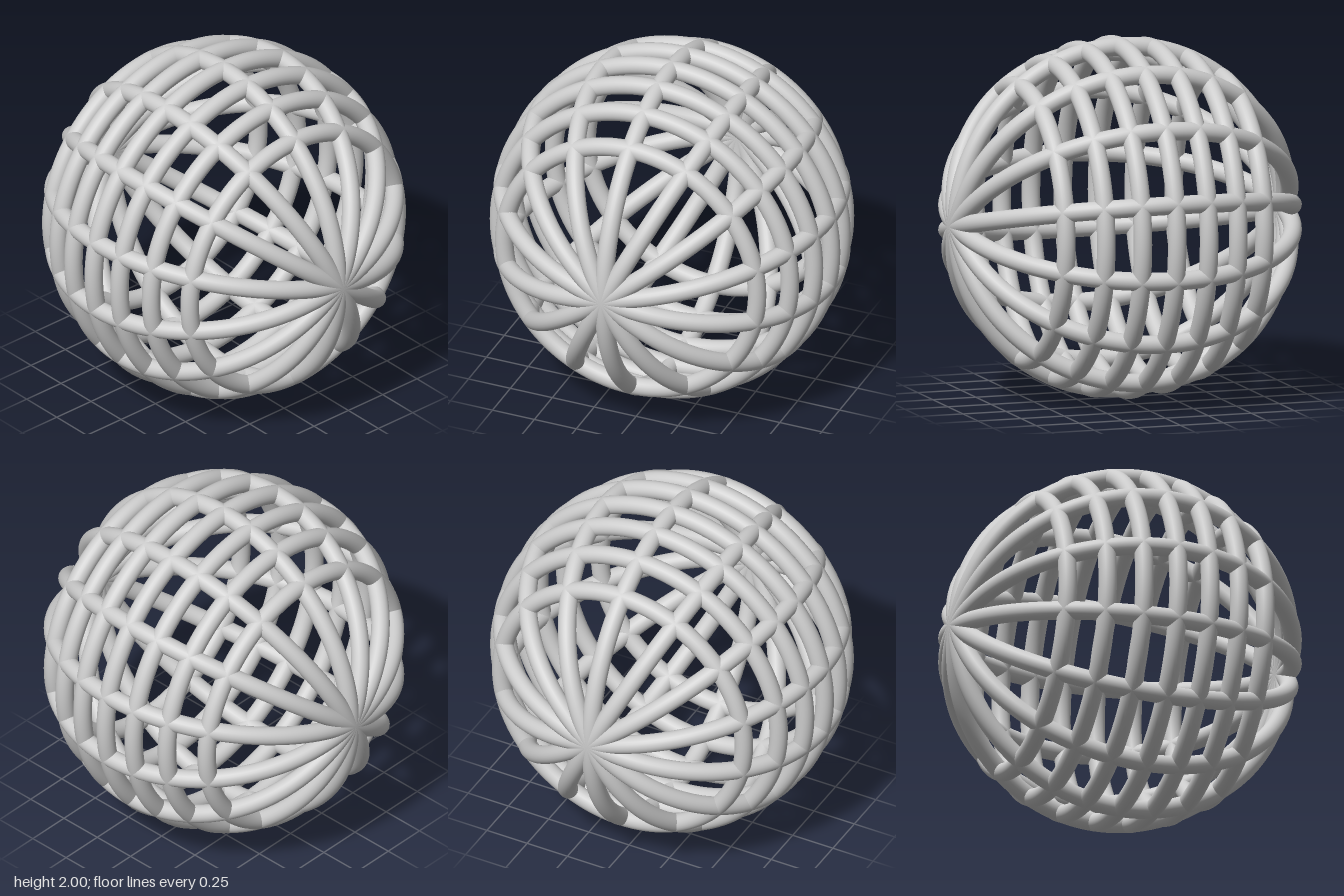
import * as THREE from 'three';

const TUBE = 0.051;           // bar thickness (radius)
const RADIUS = 1 - TUBE;      // sphere radius at the bar centres
const MERIDIANS = 7;          // full hoops through the front and back poles
const RING_STEP = 0.192;      // spacing of the parallel rings along z

export function createModel() {
  const model = new THREE.Group();
  model.name = 'cageSphere';
  const material = new THREE.MeshStandardMaterial({ color: 0xcccccc });

  const addHoop = (parent, name, radius) => {
    const hoop = new THREE.Mesh(new THREE.TorusGeometry(radius, TUBE, 24, 128), material);
    hoop.name = name;
    parent.add(hoop);
    return hoop;
  };

  // Meridian hoops, all crossing at the front and back poles
  const meridians = new THREE.Group();
  meridians.name = 'meridianHoops';
  for (let i = 0; i < MERIDIANS; i++) {
    const hoop = addHoop(meridians, `meridianHoop${i + 1}`, RADIUS);
    hoop.rotation.set(0, Math.PI / 2, (i * Math.PI) / MERIDIANS, 'ZYX');
  }

  // Parallel rings stacked along z, sized to follow the sphere
  const rings = new THREE.Group();
  rings.name = 'parallelRings';
  for (let i = -3; i <= 3; i++) {
    const z = i * RING_STEP;
    addHoop(rings, `parallelRing${i + 4}`, Math.sqrt(RADIUS ** 2 - z ** 2)).position.z = z;
  }

  model.add(meridians, rings);
  model.position.y = 1;
  return model;
}
